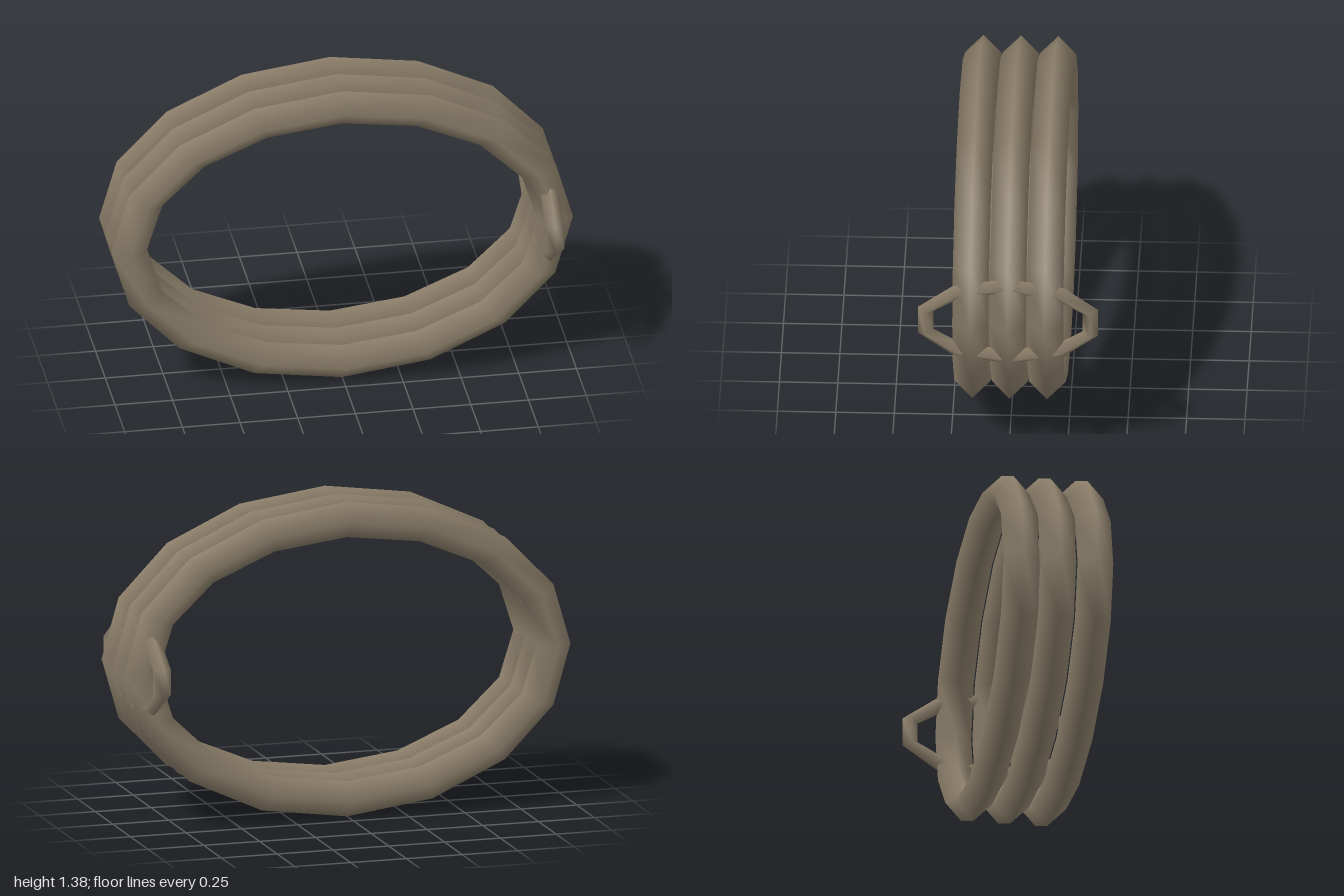
import * as THREE from 'three';

// Elliptical ring with a four-sided tube: half axes a, b; tube radius r in its plane, d across it
function ovalRing(a, b, r, d, segments) {
  const geo = new THREE.TorusGeometry(1, 0.25, 4, segments);
  const pos = geo.attributes.position;
  const nor = geo.attributes.normal;
  for (let i = 0; i < pos.count; i++) {
    const u = Math.atan2(pos.getY(i), pos.getX(i));
    const k = (Math.hypot(pos.getX(i), pos.getY(i)) - 1) / 0.25;
    const s = pos.getZ(i) / 0.25;
    const c = Math.cos(u), q = Math.sin(u);
    pos.setXYZ(i, (a + r * k) * c, (b + r * k) * q, d * s);
    const n = new THREE.Vector2(c / a, q / b).normalize();
    nor.setXYZ(i, n.x * k, n.y * k, s);
  }
  return geo;
}

export function createModel() {
  const model = new THREE.Group();
  const metal = new THREE.MeshStandardMaterial({ color: 0x8c7f6a });
  metal.name = 'dull bronze';
  const midY = 0.695;

  // Three large oval hoops side by side
  const hoopGeo = ovalRing(0.9225, 0.6125, 0.0775, 0.0775, 16);
  [-0.16, 0, 0.16].forEach((z, i) => {
    const hoop = new THREE.Mesh(hoopGeo, metal);
    hoop.name = ['backHoop', 'middleHoop', 'frontHoop'][i];
    hoop.position.set(0, midY, z);
    model.add(hoop);
  });

  // Small link threaded through all hoops, its long axis along z
  const linkGeo = ovalRing(0.174, 0.37, 0.034, 0.04, 10);
  linkGeo.applyMatrix4(new THREE.Matrix4().makeBasis(
    new THREE.Vector3(0, 1, 0), new THREE.Vector3(0, 0, 1), new THREE.Vector3(1, 0, 0)));
  const link = new THREE.Mesh(linkGeo, metal);
  link.name = 'connectingLink';
  link.position.set(0.89, midY, 0);
  model.add(link);

  return model;
}
